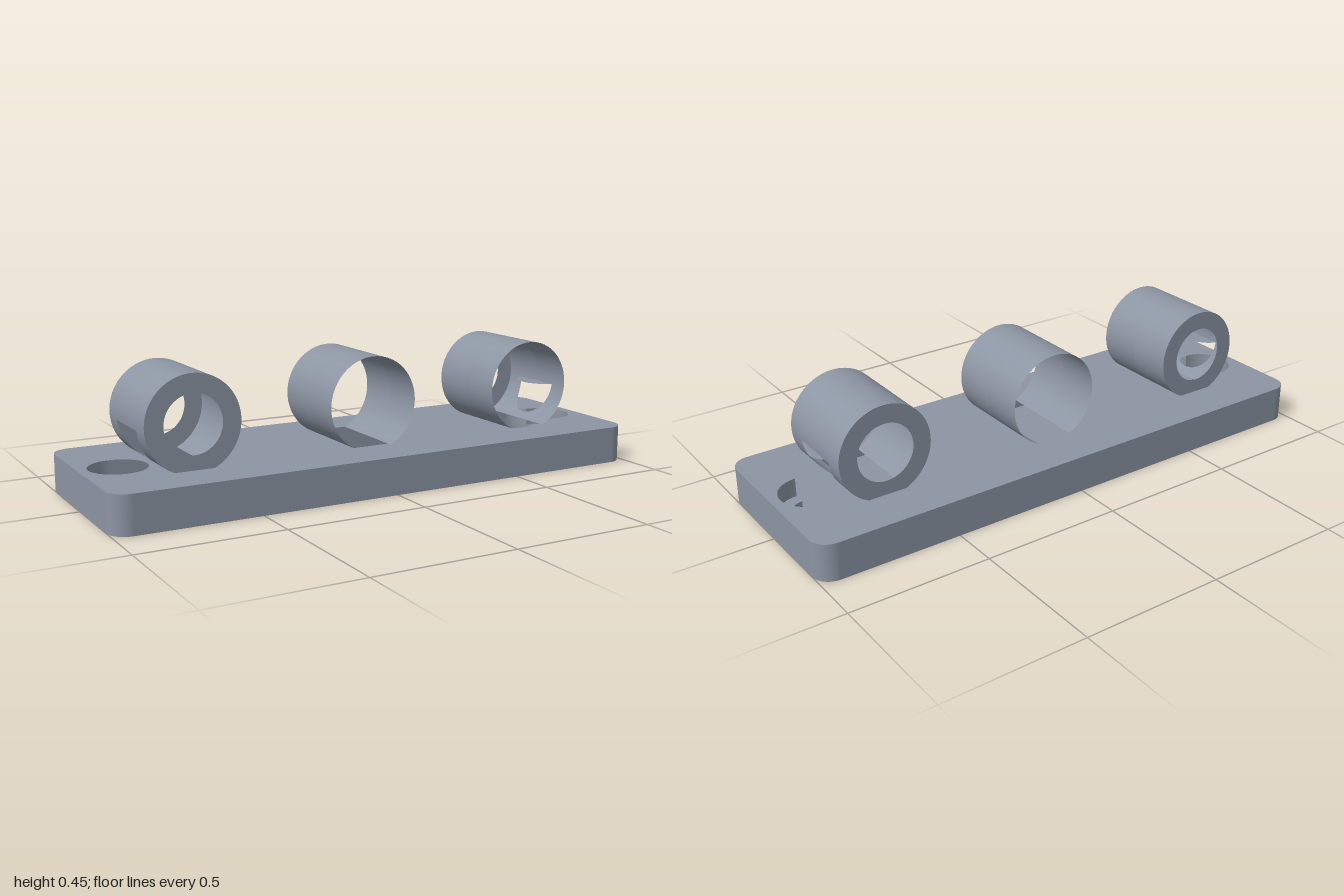
import * as THREE from 'three';

const L = 1, W = 0.333, H = 0.133, CORNER = 0.067;      // plate half length, half width, height
const TX = 0.667, TY = 0.285, R = 0.167, BORE = 0.102, TZ = 0.167; // sleeves
const HX = 0.867, HEAD = 0.1, SCREW = 0.057, LEDGE = 0.067, HEADTOP = 0.268; // screw holes

const grey = new THREE.MeshStandardMaterial({ color: 0x8c95a3, side: THREE.DoubleSide });
grey.name = 'grey';

function add(parent, name, geometry) {
  const mesh = new THREE.Mesh(geometry, grey);
  mesh.name = name;
  parent.add(mesh);
  return mesh;
}

// Smooth strip between two equally long rows of points
function ribbon(a, b) {
  const pos = [], index = [];
  a.forEach((p, i) => {
    pos.push(...p, ...b[i]);
    if (i) { const k = 2 * i; index.push(k - 2, k, k + 1, k - 2, k + 1, k - 1); }
  });
  const g = new THREE.BufferGeometry();
  g.setAttribute('position', new THREE.Float32BufferAttribute(pos, 3));
  g.setIndex(index);
  g.computeVertexNormals();
  return g;
}

const span = (from, to, n) => Array.from({ length: n + 1 }, (_, i) => from + (to - from) * i / n);

function roundedOutline() {
  const s = new THREE.Shape(), c = CORNER;
  s.moveTo(L, -W + c);
  s.absarc(L - c, W - c, c, 0, Math.PI / 2);
  s.absarc(-L + c, W - c, c, Math.PI / 2, Math.PI);
  s.absarc(-L + c, -W + c, c, Math.PI, Math.PI * 1.5);
  s.absarc(L - c, -W + c, c, Math.PI * 1.5, Math.PI * 2);
  return s;
}

const circleHole = (x, y, r) => new THREE.Path().absarc(x, y, r, 0, Math.PI * 2, true);

// Upright half-cylinder wall of a screw hole, on the outer side
function holeWall(r, y0, y1) {
  const row = y => span(Math.PI / 2, -Math.PI / 2, 24)
    .map(t => [HX + r * Math.cos(t), y, -r * Math.sin(t)]);
  return ribbon(row(y0), row(y1));
}

const T0 = Math.asin((H - TY) / R); // angle where the sleeve meets the plate

// Open sleeve shell, optionally notched for the screw head (around x = 0)
function addShell(parent, notched) {
  let rows = span(T0, Math.PI - T0, 64).map(t => [t, 0]);
  if (notched) {
    const dx = HX - TX;
    const tb = -Math.acos((dx - HEAD) / R), tt = Math.asin((HEADTOP - TY) / R);
    const width = t => Math.sqrt(Math.max(0, HEAD ** 2 - (R * Math.cos(t) - dx) ** 2));
    rows = [
      ...span(T0, tb, 4).map(t => [t, 0]),
      ...span(tb, tt, 24).map(t => [t, width(t)]),
      ...span(tt, Math.PI - T0, 52).map(t => [t, 0]),
    ];
  }
  const row = f => rows.map(([t, w]) => [R * Math.cos(t), TY + R * Math.sin(t), f(w)]);
  add(parent, 'sleeveBackHalf', ribbon(row(() => -TZ), row(w => -w)));
  add(parent, 'sleeveFrontHalf', ribbon(row(w => w), row(() => TZ)));
}

// Ring closing one end of a sleeve
function endRing() {
  const s = new THREE.Shape();
  s.absarc(0, TY, R, T0, Math.PI - T0, false);
  s.closePath();
  s.holes.push(circleHole(0, TY, BORE));
  return new THREE.ShapeGeometry(s, 48);
}

// Flat roof of the screw head notch
function notchRoof() {
  const edge = Math.sqrt(R ** 2 - (HEADTOP - TY) ** 2) - (HX - TX);
  const a = Math.acos(edge / HEAD);
  const s = new THREE.Shape();
  s.absarc(HX - TX, 0, HEAD, a, Math.PI * 2 - a, false);
  s.closePath();
  return new THREE.ShapeGeometry(s, 24).rotateX(Math.PI / 2).translate(0, HEADTOP, 0);
}

export function createModel() {
  const model = new THREE.Group();
  model.name = 'sleevePlate';

  // Base plate
  const plate = new THREE.Group();
  plate.name = 'basePlate';
  model.add(plate);
  const outline = roundedOutline().getPoints(12);
  outline.push(outline[0].clone());
  const edge = y => outline.map(p => [p.x, y, -p.y]);
  add(plate, 'plateEdge', ribbon(edge(0), edge(H)));

  const top = roundedOutline(), bottom = roundedOutline();
  const half = R * Math.cos(T0);
  for (const x of [-TX, 0, TX]) {
    top.holes.push(new THREE.Path([
      [x - half, -TZ], [x - half, TZ], [x + half, TZ], [x + half, -TZ],
    ].map(p => new THREE.Vector2(...p))));
  }
  for (const x of [-HX, HX]) {
    top.holes.push(circleHole(x, 0, HEAD));
    bottom.holes.push(circleHole(x, 0, SCREW));
  }
  add(plate, 'plateTop', new THREE.ShapeGeometry(top, 24).rotateX(-Math.PI / 2).translate(0, H, 0));
  add(plate, 'plateBottom', new THREE.ShapeGeometry(bottom, 24).rotateX(Math.PI / 2));

  // Stepped screw holes and end sleeves, mirrored
  for (const side of [1, -1]) {
    const hole = new THREE.Group();
    hole.name = side > 0 ? 'leftScrewHole' : 'rightScrewHole';
    hole.scale.x = side;
    add(hole, 'headWall', holeWall(HEAD, LEDGE, H));
    add(hole, 'screwWall', holeWall(SCREW, 0, LEDGE));
    add(hole, 'headLedge', new THREE.RingGeometry(SCREW, HEAD, 24, 1, -Math.PI / 2, Math.PI)
      .rotateX(-Math.PI / 2).translate(HX, LEDGE, 0));
    model.add(hole);

    const sleeve = new THREE.Group();
    sleeve.name = side > 0 ? 'leftSleeve' : 'rightSleeve';
    sleeve.position.x = side * TX;
    sleeve.scale.x = side;
    addShell(sleeve, true);
    add(sleeve, 'notchRoof', notchRoof());
    add(sleeve, 'backRing', endRing().rotateY(Math.PI).translate(0, 0, -TZ));
    if (side < 0) add(sleeve, 'frontRing', endRing().translate(0, 0, TZ));
    model.add(sleeve);
  }

  // Thin open sleeve in the middle
  const middle = new THREE.Group();
  middle.name = 'middleSleeve';
  addShell(middle, false);
  model.add(middle);

  return model;
}
